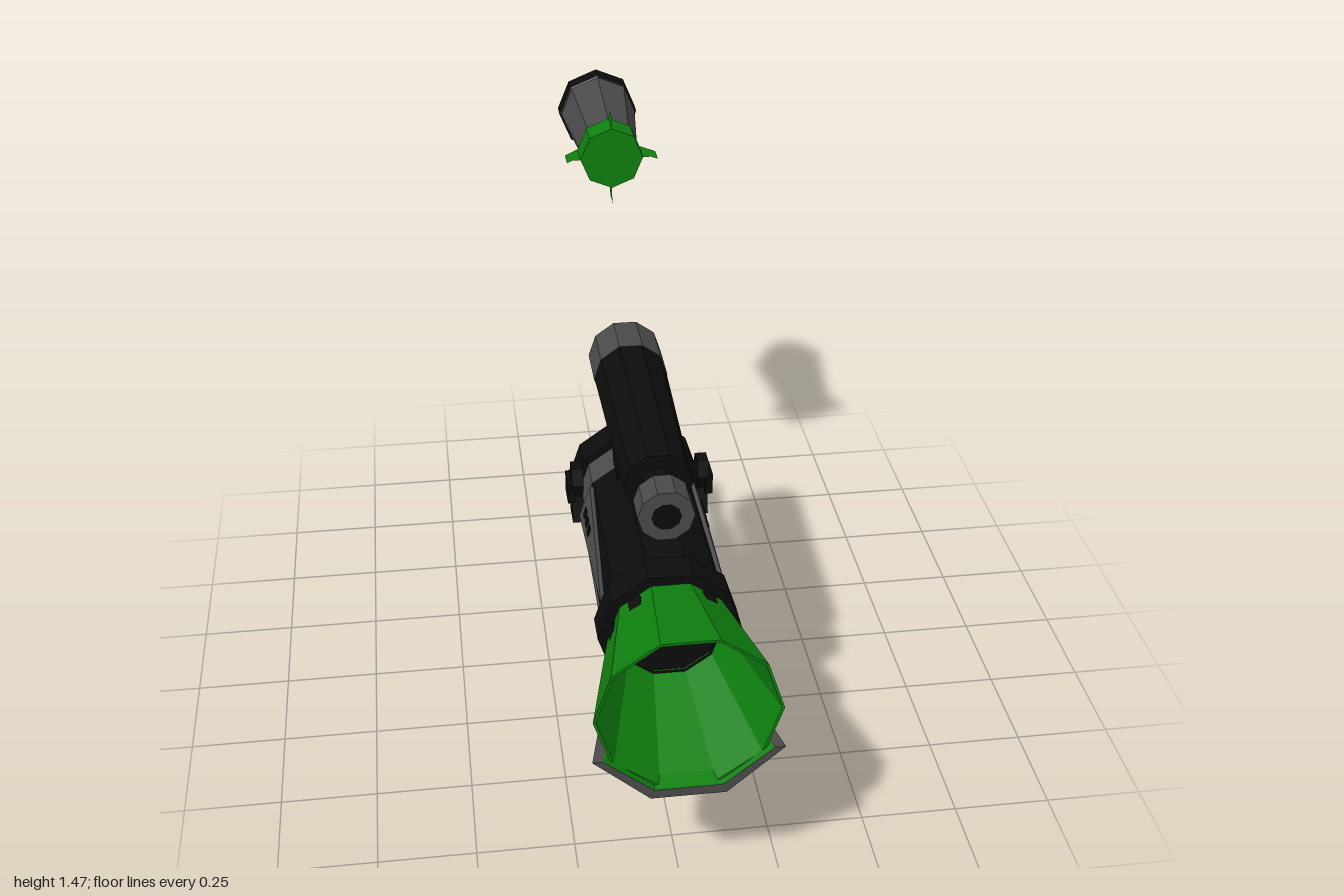
import * as THREE from 'three';

const mat = (name, color, side = THREE.FrontSide) => {
  const m = new THREE.MeshStandardMaterial({ color, side });
  m.name = name;
  return m;
};

export function createModel() {
  const black = mat('black', 0x0c0c0c);
  const grey = mat('grey', 0x4a4a4a);
  const green = mat('green', 0x0f800f, THREE.DoubleSide);
  const dullGreen = mat('dull green', 0x3a6a3a);
  const model = new THREE.Group();

  const add = (name, geo, material, parent = model) => {
    const g = geo.index ? geo.toNonIndexed() : geo;
    g.computeVertexNormals(); // faceted look
    const mesh = new THREE.Mesh(g, material);
    mesh.name = name;
    parent.add(mesh);
    return mesh;
  };

  // Faceted ring along z from [radius, z] points; angles in degrees from +x
  const turned = (pts, y, sides = 10, from = 0, sweep = 360) =>
    new THREE.LatheGeometry(pts.map(([r, z]) => new THREE.Vector2(r, z)), sides,
      Math.PI / 2 + from * Math.PI / 180, sweep * Math.PI / 180).rotateX(Math.PI / 2).translate(0, y, 0);

  // Slab with a [z, y] outline, given width, centred on x
  const slab = (pts, width, x = 0) =>
    new THREE.ExtrudeGeometry(new THREE.Shape(pts.map(([z, y]) => new THREE.Vector2(-z, y))),
      { depth: width, bevelEnabled: false }).translate(0, 0, -width / 2).rotateY(Math.PI / 2).translate(x, 0, 0);

  const box = (w, h, d, x, y, z) => new THREE.BoxGeometry(w, h, d).translate(x, y, z);

  // Barrel, muzzle and collars
  const Y = 0.6;
  add('barrel', turned([[0.157, 0], [0.157, 0.62]], Y), black);
  add('frontCollar', turned([[0.12, 0.6], [0.177, 0.6], [0.177, 0.68], [0.12, 0.68]], Y), black);
  add('muzzleFlare', turned([[0.153, 0.68], [0.222, 0.985], [0.215, 0.985], [0.125, 0.67]], Y), green);
  add('muzzleBore', turned([[0.13, 0.67], [0, 0.67]].reverse().map(([r, z]) => [r, z]).reverse(), Y), black);
  add('rearCollar', turned([[0.155, 0.045], [0.18, 0.045], [0.18, -0.04], [0.155, -0.04]].reverse(), Y), black);
  add('rearLip', turned([[0.135, -0.042], [0.158, -0.042]], Y), grey);
  add('rearBore', turned([[0.137, 0.4], [0.137, -0.042]], Y), green);
  add('rearBoreEnd', turned([[0, 0.4], [0.137, 0.4]], Y), black);

  // Small vents round the muzzle, and side panels of the barrel
  for (const s of [1, -1]) {
    for (const a of [-18, 18, 54]) {
      const vent = add('muzzleVent', box(0.02, 0.034, 0.036, 0.147, 0, 0.715), black);
      vent.position.y = Y;
      vent.rotation.z = (s > 0 ? a : 180 - a) * Math.PI / 180;
    }
    const arc = (r, z0, z1, a0, n) =>
      turned([[r, z0], [r, z1]], Y, n, s > 0 ? a0 : 180 - a0 - 36 * n, 36 * n);
    add('lowerSidePanel', arc(0.161, 0.045, 0.6, -36, 1), grey);
    add('rearSidePanel', arc(0.161, 0.045, 0.14, 0, 2), grey);

    const spike = new THREE.Group();
    spike.name = 'sideSpike';
    spike.position.y = Y;
    spike.rotation.z = (s > 0 ? 18 : 162) * Math.PI / 180;
    model.add(spike);
    add('spikePlate', slab([[0.59, -0.02 * s], [0.15, 0.046 * s], [0.15, -0.049 * s]], 0.016, 0.152), grey, spike);
    for (const z of [0.2, 0.24, 0.28])
      add('spikeMark', box(0.006, 0.022, 0.024, 0.16, -0.008 * s, z), black, spike);

    // Waisted clamp at the side
    add('sideClamp', slab([[0.12, 0.73], [0.08, 0.73], [0.06, 0.685], [0.085, 0.64], [0.065, 0.57],
      [0.135, 0.57], [0.115, 0.64], [0.135, 0.685]], 0.03, 0.168 * s), black);
    add('clampKnob', box(0.02, 0.06, 0.07, 0.185 * s, 0.66, 0.095), black);
  }

  // Cradle trough under the barrel: [z, rim x, rim y, floor x, floor y]
  const sections = [[-0.21, 0.145, 0.495, 0.055, 0.43], [0.68, 0.15, 0.495, 0.057, 0.43],
    [1, 0.226, 0.495, 0.09, 0.37]].map(([z, x1, y1, x2, y2]) => {
    const t = 0.025;
    return [[-x1, y1], [-x2, y2], [x2, y2], [x1, y1], [x1 - t, y1], [x2 - t / 3, y2 + t],
      [-x2 + t / 3, y2 + t], [-x1 + t, y1]].map(([x, y]) => [x, y, z]);
  });
  const faces = { outer: [], rim: [], inner: [] };
  const quad = (list, a, b, c, d) => list.push(...a, ...b, ...c, ...a, ...c, ...d);
  for (let k = 0; k < sections.length - 1; k++) {
    const [a, b] = [sections[k], sections[k + 1]];
    for (let i = 0; i < 8; i++) {
      const j = (i + 1) % 8;
      const list = i < 3 ? faces.outer : i === 3 || i === 7 ? faces.rim : faces.inner;
      quad(list, a[i], a[j], b[j], b[i]);
    }
  }
  const [back, front] = [sections[0], sections[2]];
  for (let k = 0; k < 3; k++) {
    quad(faces.rim, front[k], front[k + 1], front[6 - k], front[7 - k]);
    quad(faces.rim, back[7 - k], back[6 - k], back[k + 1], back[k]);
  }
  const surface = (list) => new THREE.BufferGeometry().setAttribute('position', new THREE.Float32BufferAttribute(list, 3));
  add('cradle', surface(faces.outer), black);
  add('cradleRim', surface(faces.rim), grey);
  add('cradleLining', surface(faces.inner), green);

  // Scope and its mount
  const S = 0.888;
  add('scopeTube', turned([[0, -0.075], [0.098, -0.075], [0.087, 0.46], [0, 0.46]], S), black);
  add('scopeNeck', turned([[0.05, 0.45], [0.05, 0.53]], S), black);
  add('scopeFrontLens', turned([[0, 0.52], [0.07, 0.52], [0.07, 0.6], [0, 0.6]], S), grey);
  add('scopeRear', turned([[0, -0.21], [0.1, -0.21], [0.1, -0.075], [0, -0.075]], S), grey);
  add('scopeFrontGlass', turned([[0, 0.596], [0.037, 0.602], [0, 0.602]], S), black);
  add('scopeRearGlass', turned([[0, -0.213], [0.042, -0.213], [0, -0.205]], S), black);
  add('scopeMount', slab([[0.22, 0.83], [0.2, 0.74], [0.1, 0.74], [0.07, 0.83]], 0.14), black);

  // Front handle with side panels
  add('frontHandle', slab([[0.51, 0.44], [0.32, 0.44], [0.325, 0.155], [0.555, 0.155]], 0.085), grey);
  for (const s of [1, -1])
    add('handlePanel', slab([[0.495, 0.43], [0.345, 0.43], [0.35, 0.18], [0.525, 0.18]], 0.006, 0.044 * s), green);

  // Rear grip and trigger
  add('rearGrip', slab([[0.05, 0.44], [-0.03, 0.36], [-0.035, 0.22], [-0.05, 0], [-0.2, 0], [-0.22, 0.235],
    [-0.205, 0.36], [-0.205, 0.44]], 0.136), black);
  add('trigger', box(0.05, 0.075, 0.07, 0, 0.293, -0.003), dullGreen);
  add('triggerRest', box(0.08, 0.05, 0.075, 0, 0.21, -0.002), black);

  // Small rear pistol: body, guard and square flared nozzle
  add('pistolBody', slab([[-0.045, 0.63], [-0.245, 0.625], [-0.275, 0.605], [-0.27, 0.575], [-0.225, 0.56],
    [-0.155, 0.555], [-0.145, 0.45], [-0.06, 0.45], [-0.065, 0.56], [-0.045, 0.585]], 0.056), black);
  const guard = new THREE.CatmullRomCurve3([[0.56, -0.15], [0.51, -0.165], [0.505, -0.205], [0.56, -0.22]]
    .map(([y, z]) => new THREE.Vector3(0, y, z)));
  add('pistolGuard', new THREE.TubeGeometry(guard, 10, 0.005, 5), black);
  add('pistolTrigger', box(0.01, 0.04, 0.012, 0, 0.54, -0.18), black);
  const nozzle = add('pistolNozzle', new THREE.CylinderGeometry(0.02, 0.036, 0.23, 4, 1)
    .rotateY(Math.PI / 4).rotateX(Math.PI / 2).scale(1, 1, 1), black);
  nozzle.position.set(0, 0.601, -0.375);
  add('nozzleMouth', box(0.03, 0.03, 0.004, 0, 0.601, -0.49), grey);
  add('nozzleHole', box(0.022, 0.022, 0.004, 0, 0.601, -0.4915), black);

  // Flying rocket
  const R = 1.348;
  const shell = (name, pts, m) => add(name, turned(pts, R, 8), m);
  shell('rocketTip', [[0, -1], [0.03, -0.995], [0.062, -0.965]], black);
  shell('rocketNose', [[0.062, -0.965], [0.1, -0.892]], grey);
  shell('rocketBand', [[0.1, -0.892], [0.113, -0.885], [0.113, -0.835], [0.104, -0.83]], black);
  shell('rocketBody', [[0.108, -0.835], [0.08, -0.56]], grey);
  shell('rocketTail', [[0.08, -0.568], [0.087, -0.565], [0.087, -0.487], [0, -0.487]], green);
  const fin = new THREE.ShapeGeometry(new THREE.Shape([[0.47, 0.126], [0.525, 0.126], [0.568, 0.085], [0.487, 0.08], [0.487, 0.11]]
    .map(([z, r]) => new THREE.Vector2(z, r)))).rotateY(Math.PI / 2);
  for (let i = 0; i < 4; i++) {
    const f = add('rocketFin', fin.clone(), green);
    f.position.y = R;
    f.rotation.z = i * Math.PI / 2;
  }
  return model;
}
